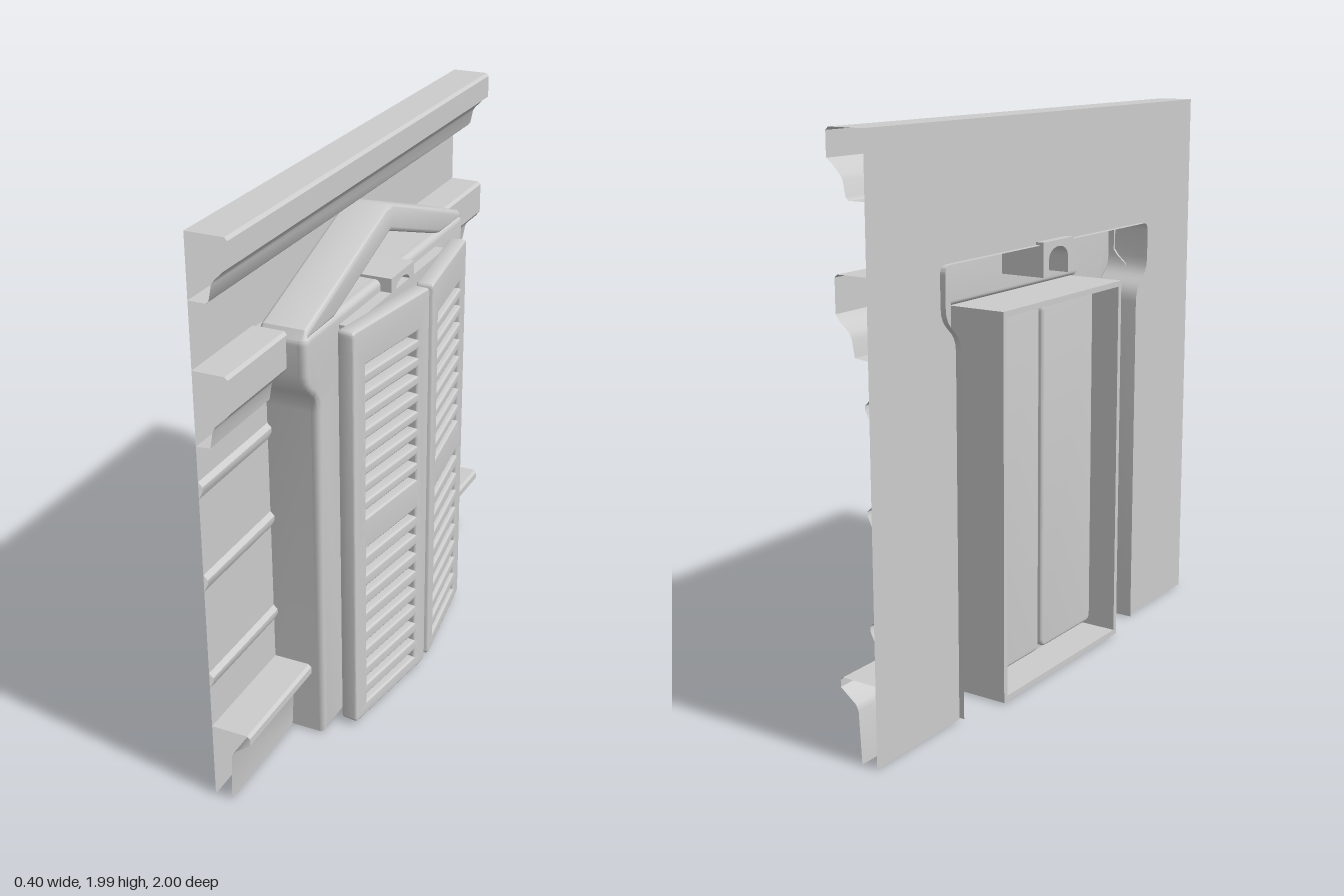
import * as THREE from 'three';
import { toCreasedNormals } from 'three/addons/utils/BufferGeometryUtils.js';

const grey = new THREE.MeshStandardMaterial({ color: 0xcccccc });
const greyThin = new THREE.MeshStandardMaterial({ color: 0xcccccc, side: THREE.DoubleSide });
const WALL_X = -0.14;

function add(parent, name, geometry, material = grey) {
  const mesh = new THREE.Mesh(geometry, material);
  mesh.name = name;
  parent.add(mesh);
  return mesh;
}

function box(parent, name, x0, x1, y0, y1, z0, z1) {
  const mesh = add(parent, name, new THREE.BoxGeometry(x1 - x0, y1 - y0, z1 - z0));
  mesh.position.set((x0 + x1) / 2, (y0 + y1) / 2, (z0 + z1) / 2);
  return mesh;
}

// Open surface between two matching rows of points
function sheet(rowA, rowB) {
  const n = rowA.length;
  const index = [];
  for (let i = 0; i < n - 1; i++) index.push(i, i + 1, n + i, i + 1, n + i + 1, n + i);
  const g = new THREE.BufferGeometry().setFromPoints([...rowA, ...rowB]);
  g.setIndex(index);
  return toCreasedNormals(g, 0.6);
}

// Moulding profile of [x, y] pairs swept along z
function moulding(parent, name, profile, z0, z1) {
  const row = (z) => profile.map(([x, y]) => new THREE.Vector3(x, y, z));
  add(parent, name, sheet(row(z0), row(z1)), greyThin);
}

// Shape drawn in (-z, y), extruded along x from x0 to x1 with a rounded edge
function slab(parent, name, shape, x0, x1, bevel = 0) {
  const g = new THREE.ExtrudeGeometry(shape, {
    depth: x1 - x0 - 2 * bevel, bevelEnabled: bevel > 0, bevelThickness: bevel,
    bevelSize: bevel, bevelOffset: -bevel, bevelSegments: 4, curveSegments: 8,
  });
  g.translate(0, 0, x0 + bevel);
  g.rotateY(Math.PI / 2);
  return add(parent, name, toCreasedNormals(g, 0.6));
}

function rect(path, x0, x1, y0, y1, r = 0) {
  path.moveTo(x0 + r, y0);
  path.lineTo(x1 - r, y0);
  if (r) path.quadraticCurveTo(x1, y0, x1, y0 + r);
  path.lineTo(x1, y1 - r);
  if (r) path.quadraticCurveTo(x1, y1, x1 - r, y1);
  path.lineTo(x0 + r, y1);
  if (r) path.quadraticCurveTo(x0, y1, x0, y1 - r);
  path.lineTo(x0, y0 + r);
  if (r) path.quadraticCurveTo(x0, y0, x0 + r, y0);
  return path;
}

// Outer contour of the doorway, from one foot over the shoulders to the other
function doorwayContour() {
  const p = new THREE.Path();
  p.moveTo(0.56, 0.015);
  p.lineTo(0.56, 1.27);
  p.bezierCurveTo(0.56, 1.36, 0.64, 1.34, 0.64, 1.43);
  p.lineTo(0.64, 1.53);
  p.quadraticCurveTo(0.64, 1.56, 0.61, 1.56);
  const half = p.getPoints(8);
  return [...half, ...half.map((v) => new THREE.Vector2(-v.x, v.y)).reverse()];
}

function buildWall(parent, contour) {
  const V = (x, y) => new THREE.Vector2(x, y);
  const shape = new THREE.Shape([V(-1, 0.01), V(-1, 2), V(1, 2), V(1, 0.01), V(0.56, 0.01), ...contour, V(-0.56, 0.01)]);
  const g = new THREE.ShapeGeometry(shape);
  g.rotateY(Math.PI / 2);
  g.translate(WALL_X, 0, 0);
  add(parent, 'wallPanel', g, greyThin);

  moulding(parent, 'corniceMoulding', [[WALL_X, 2], [-0.01, 2], [0, 1.99], [0, 1.91], [-0.02, 1.895],
    [-0.05, 1.865], [-0.06, 1.85], [-0.07, 1.80], [-0.08, 1.79], [WALL_X, 1.79]], -1, 1);
  for (const s of [1, -1]) {
    moulding(parent, 'middleMoulding', [[WALL_X, 1.57], [-0.03, 1.57], [-0.02, 1.56], [-0.02, 1.45], [-0.035, 1.43],
      [-0.07, 1.4], [-0.08, 1.38], [-0.09, 1.325], [WALL_X, 1.32]], s * 0.63, s);
    moulding(parent, 'baseboard', [[WALL_X, 0.29], [-0.01, 0.29], [0, 0.28], [0, 0.255], [-0.02, 0.24],
      [-0.06, 0.21], [-0.07, 0.19], [-0.08, 0.01]], s * 0.56, s);
    for (const y of [1.17, 0.84, 0.47])
      moulding(parent, 'wallRib', [[WALL_X, y + 0.03], [-0.125, y + 0.015], [-0.125, y], [WALL_X, y - 0.03]], s * 0.56, s);
  }
}

function buildFrame(parent, contour) {
  const V = (x, y) => new THREE.Vector2(x, y);
  // Front face of the two posts and the head between them
  const face = new THREE.Shape([...contour, V(-0.38, 0.015), V(-0.38, 1.38), V(0.38, 1.38), V(0.38, 0.015)]);
  slab(parent, 'doorFrameFace', face, 0, 0.05, 0.02);
  // Hollow sides running back through the wall
  const row = (x) => contour.map((p) => new THREE.Vector3(x, p.y, -p.x));
  add(parent, 'doorFrameSides', sheet(row(-0.16), row(0.03)), greyThin);

  const gable = new THREE.Shape([V(-0.64, 1.55), V(-0.43, 1.55), V(0, 1.70), V(0.43, 1.55),
    V(0.64, 1.55), V(0.62, 1.58), V(0.03, 1.785), V(0, 1.79), V(-0.03, 1.785), V(-0.62, 1.58)]);
  slab(parent, 'gable', gable, -0.12, 0.045, 0.015);
}

function buildCabinet(parent) {
  const shell = rect(new THREE.Shape(), -0.38, 0.38, 0.015, 1.38);
  shell.holes.push(rect(new THREE.Path(), -0.36, 0.36, 0.035, 1.36));
  slab(parent, 'cabinetShell', shell, -0.2, 0.04);
  box(parent, 'cabinetBoard', -0.06, -0.04, 0.03, 1.37, -0.37, 0.37);
  for (const s of [1, -1]) {
    const panel = rect(new THREE.Shape(), -0.17, 0.17, 0.06, 1.34, 0.03);
    slab(parent, 'innerDoor', panel, -0.1, -0.02, 0.01).position.z = s * 0.18;
  }
  box(parent, 'lintel', 0.04, 0.09, 1.38, 1.52, -0.38, 0.41);

  // Arched bracket above the shutters
  const arch = new THREE.Shape();
  arch.moveTo(-0.095, 1.45);
  arch.lineTo(-0.06, 1.45);
  arch.lineTo(-0.06, 1.51);
  arch.quadraticCurveTo(-0.055, 1.545, 0, 1.548);
  arch.quadraticCurveTo(0.055, 1.545, 0.06, 1.51);
  arch.lineTo(0.06, 1.45);
  arch.lineTo(0.095, 1.45);
  arch.lineTo(0.095, 1.57);
  arch.lineTo(-0.095, 1.57);
  slab(parent, 'archBracket', arch, -0.17, 0.09);
}

function buildShutters(parent) {
  for (const s of [1, -1]) {
    const leaf = rect(new THREE.Shape(), -0.235, 0.235, 0.025, 1.53, 0.02);
    for (let i = 0; i < 9; i++) {
      for (const y of [1.38 - i * 0.067, 0.695 - i * 0.0755])
        leaf.holes.push(rect(new THREE.Path(), -0.16, 0.16, y - 0.016, y + 0.016));
    }
    const mesh = slab(parent, 'shutter', leaf, -0.03, 0.03, 0.008);
    mesh.position.set(0.134, 0, s * 0.242);
    mesh.rotation.y = -s * 0.14;
  }
  for (const y of [1.4, 0.75, 0.39]) {
    const hinge = add(parent, 'hinge', new THREE.CylinderGeometry(0.012, 0.012, 0.06, 12));
    hinge.position.set(0.15, y, 0);
  }
}

export function createModel() {
  const model = new THREE.Group();
  model.name = 'shutteredDoorway';
  const part = (name) => {
    const group = new THREE.Group();
    group.name = name;
    model.add(group);
    return group;
  };
  const contour = doorwayContour();
  buildWall(part('wall'), contour);
  buildFrame(part('doorFrame'), contour);
  buildCabinet(part('cabinet'));
  buildShutters(part('shutters'));
  return model;
}
